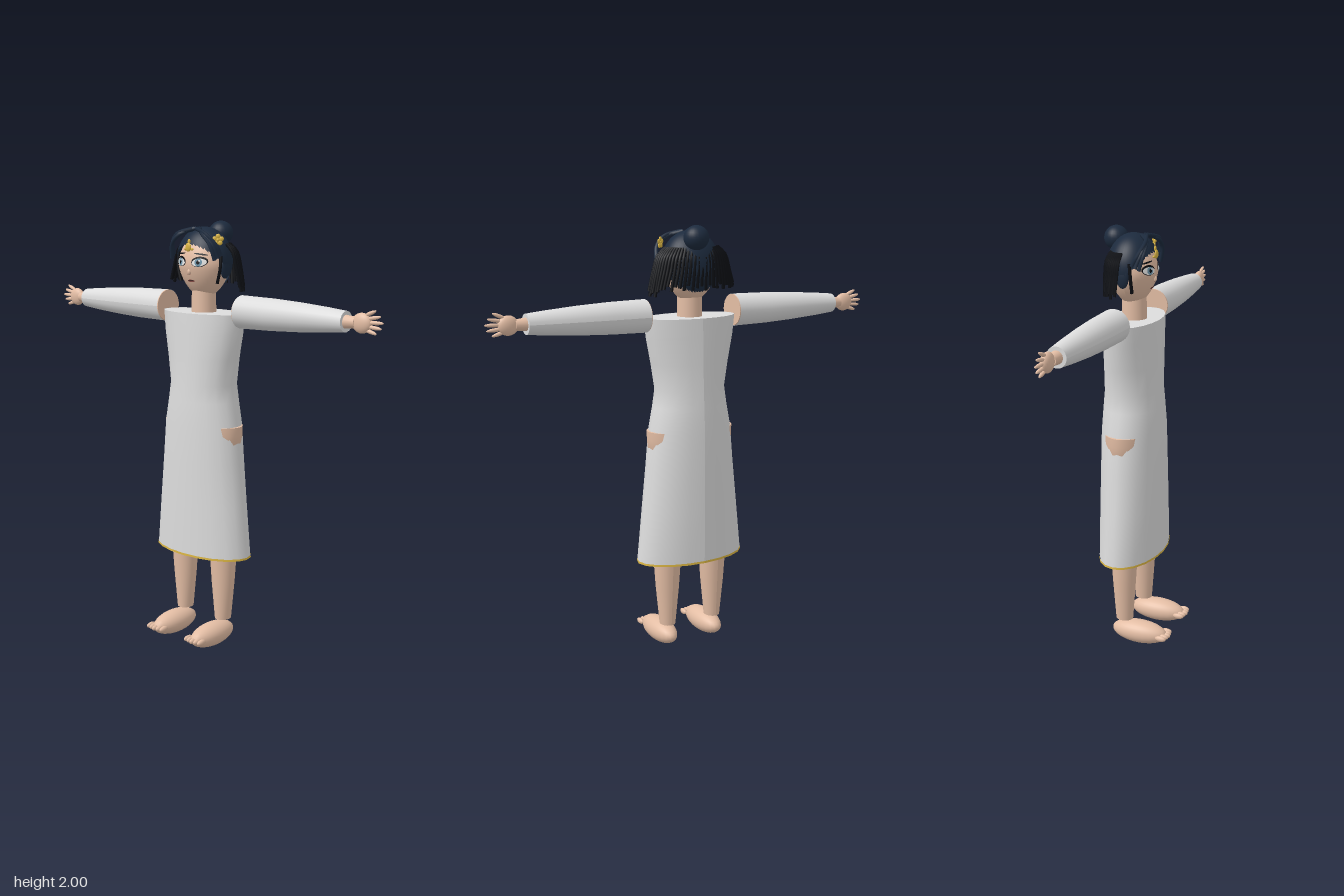
import * as THREE from 'three';

const mat = (name, color, side = THREE.FrontSide) => {
  const m = new THREE.MeshStandardMaterial({ color, side });
  m.name = name;
  return m;
};

const CZ = -0.04; // depth of the body axis
const HEAD = { y: 1.8, z: -0.045, rx: 0.127, ry: 0.147, rz: 0.11 };
const taper = h => (h < 0 ? 1 + 0.2 * h : 1); // narrows the face toward the chin

export function createModel() {
  const model = new THREE.Group();
  const skin = mat('skin', 0xe3bda4);
  const cloth = mat('white cloth', 0xdcdcdc, THREE.DoubleSide);
  const hair = mat('navy hair', 0x1c2a3d);
  const black = mat('black', 0x0b0d12);
  const gold = mat('gold', 0xd9b443, THREE.DoubleSide);
  const white = mat('eye white', 0xf2f2f0);
  const iris = mat('blue iris', 0x6f97ad);
  const lip = mat('lip', 0x9c5a52);

  const add = (name, geo, material, x = 0, y = 0, z = 0, parent = model) => {
    const m = new THREE.Mesh(geo, material);
    m.name = name;
    m.position.set(x, y, z);
    parent.add(m);
    return m;
  };
  const ball = (rx, ry, rz, n = 24) => new THREE.SphereGeometry(1, n, Math.ceil(n * 0.7)).scale(rx, ry, rz);
  const tube = (pts, r, n = 12) => new THREE.TubeGeometry(
    new THREE.CatmullRomCurve3(pts.map(p => new THREE.Vector3(...p))), n, r, 6);

  // Tube through stacked ellipses; rows run from top to bottom as [y, rx, rz]
  const loft = (rows, seg = 24, open = true) => {
    const n = rows.length - 1;
    const g = new THREE.CylinderGeometry(1, 1, 1, seg, n, open, Math.PI);
    const p = g.attributes.position;
    for (let i = 0; i < p.count; i++) {
      const [y, rx, rz] = rows[Math.round((0.5 - p.getY(i)) * n)];
      p.setXYZ(i, p.getX(i) * rx, y, p.getZ(i) * rz);
    }
    g.computeVertexNormals();
    return g;
  };

  // Dress, shoulder panel and gold hem
  add('dress', loft([
    [1.59, 0.228, 0.122], [1.5, 0.217, 0.125], [1.38, 0.192, 0.128], [1.26, 0.171, 0.132],
    [1.18, 0.183, 0.138], [1.07, 0.205, 0.143], [0.9, 0.221, 0.145], [0.7, 0.243, 0.146], [0.45, 0.27, 0.146],
  ], 20), cloth, 0, 0, CZ);
  add('shoulderPanel', new THREE.CircleGeometry(1, 20).rotateX(-Math.PI / 2).scale(0.228, 1, 0.122), cloth, 0, 1.589, CZ);
  add('hemTrim', loft([[0.453, 0.2715, 0.1475], [0.443, 0.2725, 0.148]], 20), gold, 0, 0, CZ);
  // Hips show through the side slits
  add('hips', loft([[1.07, 0.217, 0.125], [1.03, 0.216, 0.125], [0.985, 0.211, 0.122], [0.92, 0.19, 0.11]], 32, false), skin, 0, 0, CZ);
  add('neck', new THREE.CylinderGeometry(0.055, 0.058, 0.14, 24), skin, 0, 1.65, CZ);

  // Arms, modelled along +x and turned round for the other side
  for (const s of [1, -1]) {
    const arm = new THREE.Group();
    arm.name = s > 0 ? 'leftArm' : 'rightArm';
    arm.position.set(0, 1.603, CZ);
    arm.rotation.y = s > 0 ? 0 : Math.PI;
    model.add(arm);
    const sleeve = add('sleeve', loft([
      [0.795, 0.045, 0.045], [0.7, 0.054, 0.054], [0.55, 0.065, 0.065], [0.4, 0.072, 0.072], [0.23, 0.075, 0.075],
    ]), cloth, 0, 0, 0, arm);
    sleeve.rotation.z = -Math.PI / 2;
    add('cuffEnd', new THREE.CircleGeometry(0.045, 24).rotateY(Math.PI / 2), cloth, 0.794, 0, 0, arm);
    add('shoulderEnd', new THREE.CylinderGeometry(0.073, 0.073, 0.014, 24).rotateZ(Math.PI / 2), skin, 0.234, 0, 0, arm);
    add('wrist', new THREE.CylinderGeometry(0.024, 0.03, 0.06, 16).rotateZ(-Math.PI / 2), skin, 0.815, 0, 0, arm);
    add('palm', ball(0.047, 0.043, 0.024), skin, 0.873, 0, 0, arm);
    const fingers = [[0.888, 0.03, 0.94, 0.053], [0.9, 0.018, 0.963, 0.031], [0.905, 0.004, 0.977, 0.006],
      [0.9, -0.012, 0.968, -0.018], [0.89, -0.025, 0.945, -0.04]];
    for (const [x0, y0, x1, y1] of fingers) {
      const len = Math.hypot(x1 - x0, y1 - y0);
      const f = add('finger', ball(len / 2 + 0.006, 0.0085, 0.0085, 12), skin, (x0 + x1) / 2 - 0.004, (y0 + y1) / 2, 0, arm);
      f.rotation.z = Math.atan2(y1 - y0, x1 - x0);
    }
  }

  // Legs, feet and toes
  for (const s of [1, -1]) {
    const x = s * 0.123;
    add('leg', loft([[0.95, 0.08, 0.08], [0.6, 0.071, 0.071], [0.42, 0.064, 0.062], [0.3, 0.056, 0.054], [0.117, 0.037, 0.042]],
      24, false), skin, x, 0, -0.044);
    add('foot', ball(0.06, 0.056, 0.14), skin, x, 0.058, 0.035);
    for (let i = -2; i <= 2; i++)
      add('toe', ball(0.012, 0.014, 0.028, 12), skin, x + i * 0.021, 0.06, 0.167 - Math.abs(i) * 0.004);
  }

  // Head with a tapered chin
  const headGeo = ball(1, 1, 1, 40);
  const hp = headGeo.attributes.position;
  for (let i = 0; i < hp.count; i++) {
    const h = hp.getY(i), k = taper(h);
    hp.setXYZ(i, hp.getX(i) * k * HEAD.rx, h * HEAD.ry, hp.getZ(i) * k * HEAD.rz);
  }
  headGeo.computeVertexNormals();
  add('head', headGeo, skin, 0, HEAD.y, HEAD.z);

  // Thin oval laid on the face surface
  const faceZ = (x, y) => {
    const h = (y - HEAD.y) / HEAD.ry;
    return HEAD.z + HEAD.rz * Math.sqrt(Math.max(0, (1 - h * h) * taper(h) ** 2 - (x / HEAD.rx) ** 2));
  };
  const onFace = (name, material, x, y, rx, ry, lift, tilt = 0) => {
    const g = new THREE.RingGeometry(0, 1, 24, 3).scale(rx, ry, 1).rotateZ(tilt).translate(x, y, 0);
    const p = g.attributes.position;
    for (let i = 0; i < p.count; i++) p.setZ(i, faceZ(p.getX(i), p.getY(i)) + lift);
    g.computeVertexNormals();
    add(name, g, material);
  };
  for (const s of [1, -1]) {
    onFace('eyeOutline', black, s * 0.054, 1.822, 0.037, 0.023, 0.002, s * 0.1);
    onFace('eyeWhite', white, s * 0.054, 1.819, 0.033, 0.0175, 0.0035, s * 0.1);
    onFace('iris', iris, s * 0.053, 1.82, 0.0165, 0.0175, 0.005);
    onFace('pupil', black, s * 0.053, 1.82, 0.0075, 0.009, 0.0065);
    onFace('eyeGlint', white, s * 0.053 + 0.006, 1.827, 0.004, 0.004, 0.008);
    onFace('eyebrow', black, s * 0.056, 1.856, 0.031, 0.0035, 0.003, -s * 0.12);
    onFace('nostril', lip, s * 0.006, 1.766, 0.003, 0.002, 0.005);
  }
  add('nose', ball(0.009, 0.014, 0.01, 12), skin, 0, 1.775, faceZ(0, 1.775) - 0.001);
  onFace('mouth', lip, 0, 1.734, 0.021, 0.006, 0.003);
  onFace('mouthLine', black, 0, 1.735, 0.019, 0.0015, 0.0045);

  // Hair cap: a dome whose edge is high over the brow and low at the nape
  const capGeo = new THREE.SphereGeometry(1, 40, 20);
  const cp = capGeo.attributes.position;
  for (let i = 0; i < cp.count; i++) {
    const v = new THREE.Vector3().fromBufferAttribute(cp, i);
    const phi = Math.atan2(v.x, v.z);
    const edge = THREE.MathUtils.degToRad(104 - 42 * Math.cos(phi));
    const t = Math.acos(THREE.MathUtils.clamp(v.y, -1, 1)) * edge / Math.PI;
    cp.setXYZ(i, Math.sin(t) * Math.sin(phi) * 0.138, Math.cos(t) * 0.152, Math.sin(t) * Math.cos(phi) * 0.117);
  }
  capGeo.computeVertexNormals();
  const capMat = mat('navy hair cap', 0x1c2a3d, THREE.DoubleSide);
  add('hairCap', capGeo, capMat, 0, 1.823, -0.045);
  add('bun', ball(0.058, 0.055, 0.055), hair, 0.02, 1.945, -0.135);

  // Swept bangs and fine cheek locks
  for (const s of [1, -1]) {
    for (let i = 0; i < 3; i++)
      add('bang', tube([[s * 0.01, 1.968, 0.0 + i * 0.012], [s * (0.065 + i * 0.01), 1.945, 0.045],
        [s * (0.115 + i * 0.008), 1.9, 0.05 - i * 0.01], [s * (0.132 + i * 0.006), 1.83 + i * 0.01, 0.035 - i * 0.015]], 0.009), hair);
    add('cheekLock', tube([[s * 0.13, 1.86, -0.01], [s * 0.129, 1.79, -0.005], [s * 0.112, 1.725, -0.005]], 0.0075), black);
    add('sideHair', ball(0.014, 0.05, 0.03, 16), hair, s * 0.124, 1.795, -0.045);
  }
  // Loose strands around the back and sides
  const N = 33;
  for (let i = 0; i < N; i++) {
    const a = (i / (N - 1) - 0.5) * Math.PI * 1.06;
    const sx = Math.sin(a), cz = Math.cos(a);
    const tip = 1.725 + 0.012 * Math.sin(i * 2.4) - (sx > 0.9 ? 0.025 : 0);
    add('strand', tube([[sx * 0.13, 1.9, -0.055 - cz * 0.075], [sx * 0.168, 1.865, -0.055 - cz * 0.095],
      [sx * 0.19, 1.8, -0.055 - cz * 0.1], [sx * 0.212, tip, -0.055 - cz * 0.094]], 0.0075, 8), black);
  }

  // Gold brow ornament and hair flower
  add('browOrnament', ball(0.017, 0.02, 0.007, 16), gold, 0, 1.886, 0.066);
  add('browDrop', ball(0.007, 0.012, 0.006, 12), gold, 0, 1.911, 0.06);
  for (const s of [1, -1]) add('browBead', ball(0.008, 0.006, 0.006, 12), gold, s * 0.02, 1.877, 0.062);
  const flower = new THREE.Group();
  flower.name = 'hairFlower';
  flower.position.set(0.125, 1.92, 0.005);
  flower.rotation.y = 0.6;
  model.add(flower);
  for (let i = 0; i < 5; i++) {
    const a = i * Math.PI * 0.4 + Math.PI / 2;
    add('petal', ball(0.011, 0.011, 0.005, 12), gold, Math.cos(a) * 0.016, Math.sin(a) * 0.016, 0, flower);
  }
  add('flowerCentre', ball(0.008, 0.008, 0.008, 12), gold, 0, 0, 0.004, flower);

  return model;
}
